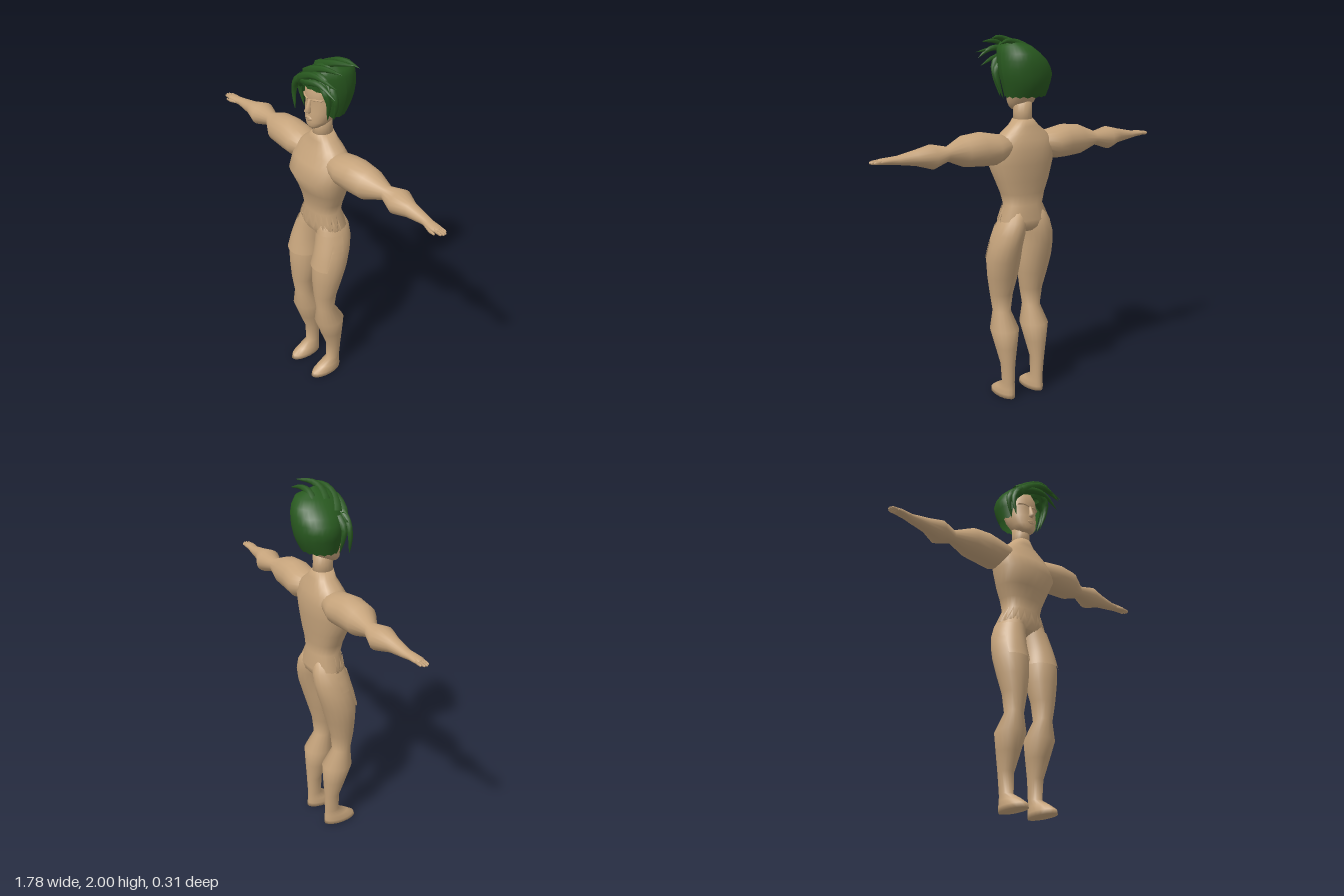
import * as THREE from 'three';
import { mergeVertices } from 'three/addons/utils/BufferGeometryUtils.js';

const skin = new THREE.MeshStandardMaterial({ color: 0xc6a47c, side: THREE.DoubleSide });
skin.name = 'skin tan';
const green = new THREE.MeshStandardMaterial({ color: 0x28581f, side: THREE.DoubleSide });
green.name = 'hair green';

// A section is [position, aMin, aMax, bMin, bMax]; returns [a, b] on its rounded outline.
function outline(s, t, power = 2, grow = 0) {
  const bend = v => Math.sign(v) * Math.abs(v) ** (2 / power);
  return [
    (s[1] + s[2]) / 2 + ((s[2] - s[1]) / 2 + grow) * bend(Math.cos(t)),
    (s[3] + s[4]) / 2 + ((s[4] - s[3]) / 2 + grow) * bend(Math.sin(t)),
  ];
}

// Interpolated section at position p (sections sorted by position).
function sectionAt(sections, p) {
  let i = 0;
  while (i < sections.length - 2 && p > sections[i + 1][0]) i++;
  const [s, e] = [sections[i], sections[i + 1]];
  const k = THREE.MathUtils.clamp((p - s[0]) / (e[0] - s[0]), 0, 1);
  return s.map((v, j) => v + (e[j] - v) * k);
}

function build(points, faces) {
  const g = new THREE.BufferGeometry();
  g.setAttribute('position', new THREE.Float32BufferAttribute(points.flat(), 3));
  g.setIndex(faces);
  g.computeVertexNormals();
  return g;
}

const upright = (p, a, b) => [a, p, b];
const sideways = (p, a, b) => [p, a, b];

// Closed smooth body through the sections.
function loft(sections, { map = upright, sides = 18, power = 2 } = {}) {
  const points = [], faces = [], n = sections.length;
  for (const s of sections)
    for (let i = 0; i < sides; i++)
      points.push(map(s[0], ...outline(s, (i / sides) * Math.PI * 2, power)));
  for (const s of [sections[0], sections[n - 1]])
    points.push(map(s[0], (s[1] + s[2]) / 2, (s[3] + s[4]) / 2));
  for (let r = 0; r < n; r++)
    for (let i = 0; i < sides; i++) {
      const a = r * sides + i, b = r * sides + (i + 1) % sides;
      if (r < n - 1) faces.push(a, a + sides, b, b, a + sides, b + sides);
      if (r === 0) faces.push(a, b, n * sides);
      if (r === n - 1) faces.push(b, a, n * sides + 1);
    }
  // Turn the faces outward when the axis mapping is left-handed.
  const v = faces.map(i => new THREE.Vector3(...points[i]));
  let volume = 0;
  for (let i = 0; i < v.length; i += 3) volume += v[i].dot(v[i + 1].clone().cross(v[i + 2]));
  if (volume < 0) faces.reverse();
  return build(points, faces);
}

// Open sheet wrapped round the sections between two edges that vary with angle.
function wrap(sections, t0, t1, cols, rows, low, high, grow, power = 2) {
  const points = [], faces = [];
  for (let r = 0; r <= rows; r++)
    for (let c = 0; c <= cols; c++) {
      const t = t0 + (t1 - t0) * c / cols;
      const y = low(t, c) + (high(t, c) - low(t, c)) * r / rows;
      points.push(upright(y, ...outline(sectionAt(sections, y), t, power, grow)));
      if (r < rows && c < cols) {
        const a = r * (cols + 1) + c, b = a + cols + 1;
        faces.push(a, b, a + 1, a + 1, b, b + 1);
      }
    }
  return build(points, faces);
}

// Curved strand tapering to a point.
function strand(path, radius) {
  const curve = new THREE.CatmullRomCurve3(path.map(p => new THREE.Vector3(...p)));
  const g = new THREE.TubeGeometry(curve, 8, radius, 6);
  const pos = g.attributes.position, v = new THREE.Vector3();
  for (let i = 0; i < pos.count; i++) {
    const t = Math.floor(i / 7) / 8, centre = curve.getPointAt(t);
    v.fromBufferAttribute(pos, i).sub(centre).multiplyScalar(Math.max(0.02, (1 - t) ** 0.7)).add(centre);
    pos.setXYZ(i, v.x, v.y, v.z);
  }
  g.deleteAttribute('uv');
  g.deleteAttribute('normal');
  const merged = mergeVertices(g, 1e-5);
  merged.computeVertexNormals();
  return merged;
}

// Symmetric section: position, half width, back, front.
const even = (y, h, back, front) => [y, -h, h, back, front];

const torso = [
  even(0.965, 0.05, -0.06, 0.04), even(0.99, 0.13, -0.085, 0.075), even(1.03, 0.148, -0.098, 0.09),
  even(1.11, 0.112, -0.078, 0.083), even(1.17, 0.128, -0.08, 0.09), even(1.24, 0.156, -0.09, 0.11),
  even(1.33, 0.186, -0.1, 0.15), even(1.41, 0.188, -0.105, 0.115), even(1.46, 0.168, -0.09, 0.09),
  even(1.495, 0.13, -0.08, 0.075), even(1.53, 0.085, -0.065, 0.06), even(1.565, 0.052, -0.055, 0.057),
];
const leg = [
  [0, 0.052, 0.142, -0.042, 0.158], [0.025, 0.05, 0.145, -0.042, 0.15], [0.055, 0.055, 0.138, -0.04, 0.105],
  [0.09, 0.064, 0.13, -0.038, 0.045], [0.2, 0.06, 0.14, -0.042, 0.047], [0.3, 0.04, 0.16, -0.047, 0.085],
  [0.4, 0.02, 0.18, -0.05, 0.12], [0.5, 0.05, 0.15, 0.01, 0.115], [0.6, 0.035, 0.165, 0, 0.13],
  [0.7, 0.016, 0.185, -0.03, 0.135], [0.8, 0.01, 0.197, -0.06, 0.136], [0.88, 0.016, 0.187, -0.085, 0.118],
  [0.95, 0.01, 0.172, -0.1, 0.1], [1.02, 0.002, 0.148, -0.1, 0.086], [1.08, 0.01, 0.11, -0.075, 0.07],
];
const arm = [
  [0.08, 1.38, 1.48, -0.07, 0.07], [0.19, 1.335, 1.5, -0.097, 0.092], [0.27, 1.335, 1.515, -0.09, 0.09],
  [0.37, 1.343, 1.505, -0.085, 0.085], [0.475, 1.385, 1.46, -0.055, 0.022], [0.565, 1.355, 1.48, -0.09, 0.055],
  [0.65, 1.38, 1.46, -0.05, 0.03], [0.75, 1.395, 1.44, -0.035, 0.02], [0.79, 1.4, 1.436, -0.028, 0.026],
  [0.83, 1.403, 1.433, -0.027, 0.03], [0.85, 1.407, 1.429, -0.022, 0.024],
];
const head = [
  even(1.61, 0.028, 0.03, 0.082), even(1.625, 0.048, -0.01, 0.091), even(1.65, 0.068, -0.045, 0.092),
  even(1.7, 0.083, -0.08, 0.09), even(1.755, 0.088, -0.105, 0.082), even(1.775, 0.09, -0.115, 0.09),
  even(1.83, 0.088, -0.12, 0.084), even(1.89, 0.07, -0.1, 0.055), even(1.92, 0.03, -0.05, 0.01),
];
const hair = [
  [1.67, -0.112, 0.107, -0.105, 0.075], [1.74, -0.13, 0.13, -0.142, 0.088], [1.81, -0.145, 0.15, -0.156, 0.098],
  [1.88, -0.1, 0.152, -0.152, 0.108], [1.93, -0.04, 0.145, -0.13, 0.1], [1.965, 0.015, 0.13, -0.085, 0.065],
  [1.98, 0.079, 0.081, -0.001, 0.001],
];

export function createModel() {
  const model = new THREE.Group();
  model.name = 'figure';
  const add = (name, geometry, material = skin, parent = model) => {
    const mesh = new THREE.Mesh(geometry, material);
    mesh.name = name;
    parent.add(mesh);
    return mesh;
  };
  const mirrored = (name, make) => {
    for (const side of [1, -1]) {
      const geometry = make();
      if (side < 0) {
        geometry.scale(-1, 1, 1);
        const index = geometry.index.array;
        for (let i = 0; i < index.length; i += 3) [index[i], index[i + 1]] = [index[i + 1], index[i]];
        geometry.computeVertexNormals();
      }
      add((side > 0 ? 'left ' : 'right ') + name, geometry);
    }
  };

  // Body
  add('torso', loft(torso, { sides: 24, power: 2.3 }));
  add('neck', loft([even(1.54, 0.051, -0.055, 0.058), even(1.6, 0.048, -0.05, 0.055), even(1.66, 0.05, -0.05, 0.05)]));
  mirrored('leg', () => loft(leg));
  mirrored('arm', () => loft(arm, { map: sideways }));

  // Fingers and thumb
  [[-0.018, 0.876], [-0.006, 0.888], [0.007, 0.89], [0.019, 0.882]].forEach(([z, tip], i) =>
    mirrored('finger ' + (i + 1), () => loft([
      [0.82, 1.408, 1.43, z - 0.007, z + 0.007], [tip - 0.01, 1.408, 1.425, z - 0.006, z + 0.006],
      [tip, 1.412, 1.421, z - 0.003, z + 0.003],
    ], { map: sideways, sides: 6 })));
  mirrored('thumb', () => loft([
    [0.775, 1.405, 1.425, 0.008, 0.024], [0.82, 1.4, 1.419, 0.022, 0.037], [0.85, 1.403, 1.414, 0.026, 0.036],
  ], { map: sideways, sides: 6 }));

  // Shorts: thin front panels with a zigzag waist
  const cuff = t => (t < 0.7 ? 0.91 : 0.8);
  mirrored('shorts leg', () => wrap(leg, 0, Math.PI * 0.95, 24, 6, cuff, () => 1.0, 0.006));
  add('shorts waist', wrap(torso, 0, Math.PI, 20, 3, () => 0.99, (t, c) => (c % 2 ? 1.03 : 1.11), 0.005, 2.3));

  // Head and face
  add('head', loft(head, { sides: 20, power: 2.2 }));
  add('nose', loft([
    even(1.695, 0.012, 0.07, 0.1), even(1.706, 0.017, 0.07, 0.117), even(1.73, 0.01, 0.07, 0.104),
    even(1.77, 0.008, 0.07, 0.091),
  ], { sides: 8 }));
  add('lips', loft([
    even(1.65, 0.012, 0.07, 0.094), even(1.658, 0.024, 0.07, 0.098), even(1.664, 0.026, 0.07, 0.094),
    even(1.67, 0.024, 0.07, 0.1), even(1.677, 0.01, 0.07, 0.093),
  ], { sides: 10 }));
  mirrored('brow', () => loft([
    [0.012, 1.762, 1.774, 0.06, 0.093], [0.04, 1.768, 1.78, 0.055, 0.088], [0.07, 1.77, 1.778, 0.04, 0.07],
  ], { map: sideways, sides: 8 }));

  // Hair cap, open over the face
  const hairline = (t, c) =>
    1.68 + 0.15 * THREE.MathUtils.smoothstep(Math.sin(t), 0.5, 0.88) + (c % 2 ? 0.008 : 0);
  add('hair cap', wrap(hair, 0, Math.PI * 2, 32, 8, hairline, () => 1.98, 0), green);

  // Locks swept up and over to the left, then side locks
  const locks = [
    [0.03, [-0.1, 1.82, 0.06], [-0.03, 1.88, 0.1], [0.07, 1.925, 0.11], [0.225, 1.91, 0.1]],
    [0.032, [-0.07, 1.87, 0.04], [0.02, 1.93, 0.08], [0.11, 1.965, 0.08], [0.215, 1.965, 0.055]],
    [0.03, [-0.02, 1.92, 0.01], [0.06, 1.96, 0.03], [0.13, 1.985, 0.02], [0.21, 1.985, -0.03]],
    [0.028, [0.0, 1.92, -0.05], [0.07, 1.96, -0.04], [0.13, 1.97, -0.05], [0.19, 1.955, -0.07]],
    [0.028, [-0.08, 1.85, 0.07], [0, 1.87, 0.105], [0.1, 1.885, 0.1], [0.205, 1.84, 0.09]],
    [0.026, [0.02, 1.9, 0.08], [0.09, 1.93, 0.1], [0.15, 1.92, 0.1], [0.2, 1.88, 0.115]],
    [0.025, [0.06, 1.89, 0.07], [0.115, 1.86, 0.085], [0.13, 1.8, 0.07], [0.105, 1.68, 0.055]],
    [0.024, [0.1, 1.86, 0.04], [0.14, 1.82, 0.04], [0.14, 1.77, 0.03], [0.11, 1.675, 0.02]],
    [0.026, [-0.05, 1.87, 0.08], [-0.1, 1.83, 0.085], [-0.125, 1.77, 0.085], [-0.112, 1.67, 0.09]],
    [0.024, [-0.08, 1.86, 0.04], [-0.125, 1.81, 0.05], [-0.125, 1.76, 0.045], [-0.1, 1.675, 0.04]],
  ];
  const lockGroup = new THREE.Group();
  lockGroup.name = 'hair locks';
  model.add(lockGroup);
  locks.forEach(([radius, ...path], i) => add('lock ' + (i + 1), strand(path, radius), green, lockGroup));
  return model;
}
